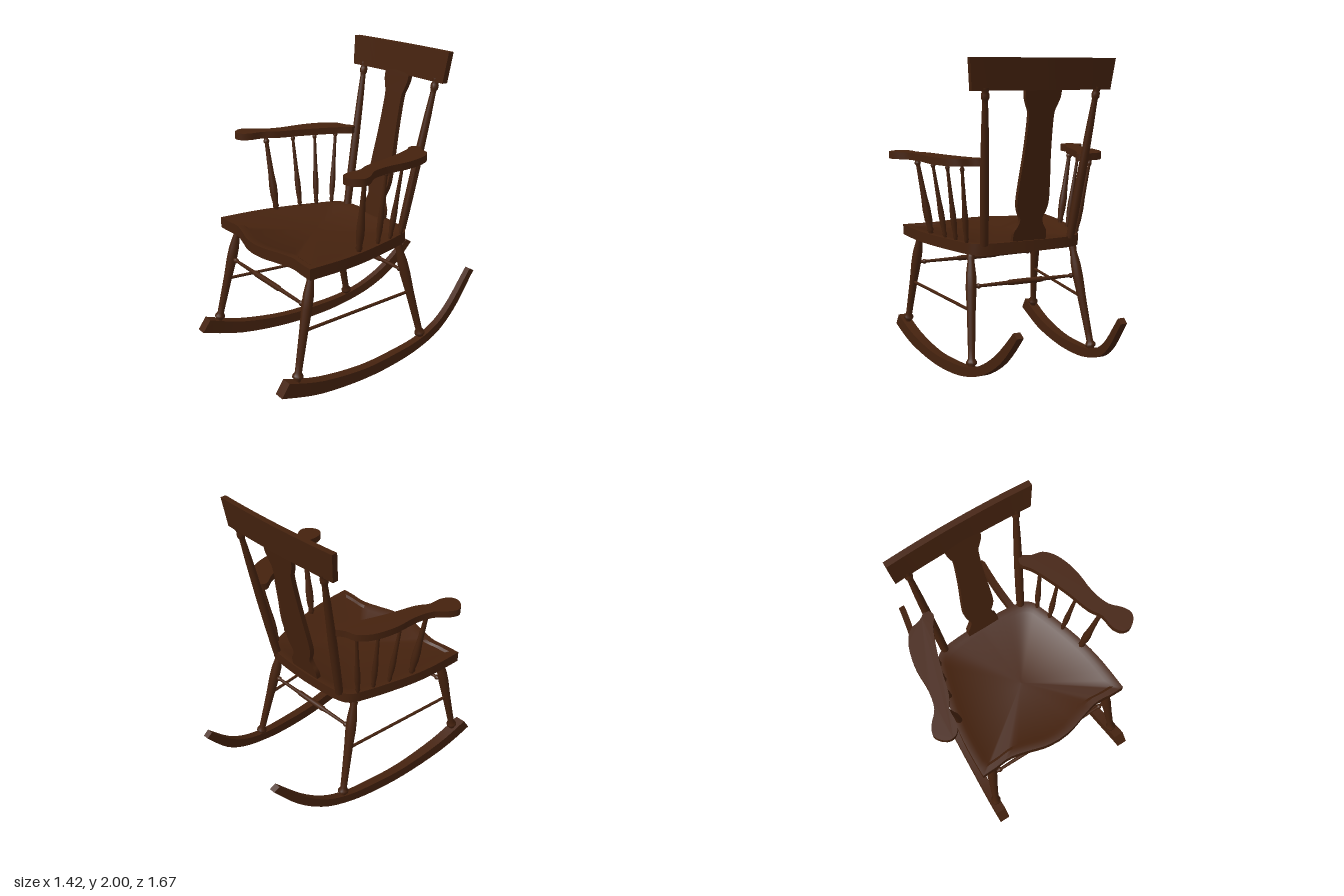
import * as THREE from 'three';
import { toCreasedNormals } from 'three/addons/utils/BufferGeometryUtils.js';

const V = (x, y, z) => new THREE.Vector3(x, y, z);
const lerp = THREE.MathUtils.lerp;
const crease = (g) => toCreasedNormals(g, 0.6);

// Smooth 2D curve through a few points
const smooth = (pts, n) => new THREE.SplineCurve(pts.map(([x, y]) => new THREE.Vector2(x, y))).getPoints(n);

// Skin a series of closed rings, with fan caps on both ends
function loft(rings) {
  const pos = [];
  const tri = (...vs) => vs.forEach((v) => pos.push(v.x, v.y, v.z));
  const n = rings[0].length;
  for (let i = 0; i < rings.length - 1; i++) {
    for (let j = 0; j < n; j++) {
      const k = (j + 1) % n;
      tri(rings[i][j], rings[i][k], rings[i + 1][k]);
      tri(rings[i][j], rings[i + 1][k], rings[i + 1][j]);
    }
  }
  const middle = (r) => r.reduce((s, v) => s.add(v), V(0, 0, 0)).divideScalar(n);
  const first = rings[0], last = rings[rings.length - 1];
  const c0 = middle(first), c1 = middle(last);
  for (let j = 0; j < n; j++) {
    const k = (j + 1) % n;
    tri(c0, first[k], first[j]);
    tri(c1, last[j], last[k]);
  }
  const g = new THREE.BufferGeometry();
  g.setAttribute('position', new THREE.Float32BufferAttribute(pos, 3));
  g.computeVertexNormals();
  return crease(g);
}

// Lathe-turned rod between two points; profile is [radius, fraction along rod]
function turned(profile, a, b) {
  const dir = b.clone().sub(a), len = dir.length();
  const g = new THREE.LatheGeometry(profile.map(([r, t]) => new THREE.Vector2(r, t * len)), 14);
  g.applyQuaternion(new THREE.Quaternion().setFromUnitVectors(V(0, 1, 0), dir.normalize()));
  return g.translate(a.x, a.y, a.z);
}

const LEG = [[0.02, 0], [0.021, 0.05], [0.034, 0.065], [0.034, 0.085], [0.022, 0.11], [0.023, 0.2], [0.028, 0.5],
  [0.034, 0.68], [0.033, 0.8], [0.022, 0.92], [0.026, 0.95], [0.021, 0.97], [0.02, 1]];
const POST = [[0.026, 0], [0.028, 0.2], [0.028, 0.45], [0.023, 0.75], [0.018, 0.9], [0.018, 0.92], [0.025, 0.935],
  [0.025, 0.96], [0.019, 0.97], [0.025, 0.985], [0.025, 1]];
const SPINDLE = [[0.013, 0], [0.014, 0.04], [0.02, 0.06], [0.016, 0.09], [0.023, 0.2], [0.024, 0.34], [0.018, 0.5],
  [0.014, 0.75], [0.012, 0.9], [0.018, 0.925], [0.018, 0.94], [0.012, 0.96], [0.012, 1]];
const STRETCHER = [[0.01, 0], [0.01, 0.05], [0.017, 0.06], [0.017, 0.07], [0.01, 0.085], [0.013, 0.33], [0.018, 0.35],
  [0.018, 0.65], [0.013, 0.67], [0.01, 0.915], [0.017, 0.93], [0.017, 0.94], [0.01, 0.95], [0.01, 1]];
const ROD = [[0.01, 0], [0.01, 1]];

// Seat slab with a shallow dished top and a serpentine front edge
function seatGeometry() {
  const front = smooth([[0, 0.695], [0.1, 0.685], [0.22, 0.65], [0.34, 0.622], [0.45, 0.63], [0.545, 0.632]], 14);
  const side = smooth([[0.545, 0.632], [0.535, 0.42], [0.51, 0.24], [0.46, 0.04], [0.41, -0.12], [0.375, -0.2],
    [0.3, -0.242], [0.15, -0.258], [0, -0.264]], 24);
  const half = [...front, ...side.slice(1)];
  const outline = [...half, ...half.slice(1, -1).reverse().map((p) => new THREE.Vector2(-p.x, p.y))];
  const ring = (s, y) => outline.map((p) => V(p.x * s, y, 0.21 + (p.y - 0.21) * s));
  return loft([ring(1, 0.8), ring(1, 0.87), ring(0.91, 0.87), ring(0.87, 0.858)]);
}

// Curved rocker, thinner and closer to the middle at the back
function rockerGeometry() {
  const n = 28;
  const low = smooth([[0.84, 0.1], [0.55, 0.026], [0.2, 0], [-0.1, 0.018], [-0.32, 0.062], [-0.5, 0.13],
    [-0.67, 0.25], [-0.835, 0.44]], n);
  const high = smooth([[0.785, 0.18], [0.53, 0.106], [0.2, 0.07], [-0.09, 0.086], [-0.29, 0.115], [-0.46, 0.175],
    [-0.62, 0.285], [-0.795, 0.465]], n);
  const plan = new THREE.SplineCurve([[0.34, -0.84], [0.415, -0.42], [0.455, 0], [0.485, 0.42], [0.511, 0.84]]
    .map(([x, z]) => new THREE.Vector2(x, z)));
  const corner = (p, side) => {
    const t = THREE.MathUtils.clamp((p.x + 0.84) / 1.68, 0, 1);
    return V(plan.getPoint(t).x + side * lerp(0.021, 0.036, t), p.y, p.x);
  };
  const rings = low.map((p, i) => [corner(p, 1), corner(p, -1), corner(high[i], -1), corner(high[i], 1)]);
  // Rounded nose
  const mid = { x: 0.825, y: 0.155 };
  rings[0].splice(2, 0, corner(mid, -1), corner(mid, 1));
  rings[0] = [rings[0][0], rings[0][1], rings[0][4], rings[0][5]];
  return loft(rings);
}

// Flat arm, broad at the hand and narrow where it meets the post
function armGeometry() {
  const pts = [[0.345, -0.325], [0.315, -0.28], [0.36, -0.21], [0.4, -0.12], [0.46, 0.05], [0.505, 0.21], [0.55, 0.29],
    [0.557, 0.38], [0.59, 0.435], [0.64, 0.447], [0.69, 0.415], [0.712, 0.37], [0.69, 0.315], [0.625, 0.24],
    [0.592, 0.12], [0.587, -0.03], [0.565, -0.14], [0.53, -0.22], [0.48, -0.272], [0.41, -0.29]];
  const curve = new THREE.CatmullRomCurve3(pts.map(([x, z]) => V(x, z, 0)), true);
  const shape = new THREE.Shape(curve.getPoints(60).slice(0, -1).map((p) => new THREE.Vector2(p.x, p.y)));
  const g = new THREE.ExtrudeGeometry(shape, { depth: 0.045, bevelEnabled: false });
  return crease(g.rotateX(Math.PI / 2).translate(0, 1.405, 0));
}

// Vase-shaped back splat, leaning back
function splatGeometry() {
  const half = smooth([[0.115, 0.86], [0.113, 0.925], [0.09, 0.965], [0.077, 1.01], [0.1, 1.07], [0.109, 1.13],
    [0.103, 1.25], [0.088, 1.45], [0.083, 1.66], [0.1, 1.72], [0.117, 1.77], [0.12, 1.83]], 40);
  const left = half.map((p) => new THREE.Vector2(-p.x, p.y)).reverse();
  const g = new THREE.ExtrudeGeometry(new THREE.Shape([...half, ...left]), { depth: 0.032, bevelEnabled: false });
  const p = g.attributes.position;
  for (let i = 0; i < p.count; i++) p.setZ(i, p.getZ(i) - 0.25 - (p.getY(i) - 0.87) * 0.205);
  return crease(g);
}

// Crest board, gently bowed and flared towards the top
function crestGeometry() {
  const rings = [];
  for (let i = 0; i <= 12; i++) {
    const u = i / 6 - 1, bow = 0.015 * u * u;
    rings.push([V(0.46 * u, 1.81, -0.45 + bow), V(0.48 * u, 2, -0.476 + bow),
      V(0.48 * u, 2, -0.438 + bow), V(0.46 * u, 1.81, -0.412 + bow)]);
  }
  return loft(rings.map((r) => r.reverse()).map((r) => [...r].reverse()));
}

export function createModel() {
  const model = new THREE.Group();
  model.name = 'rockingChair';
  const wood = new THREE.MeshStandardMaterial({ color: 0x45220e });
  wood.name = 'darkWood';
  const add = (parent, name, geometry) => {
    const m = new THREE.Mesh(geometry, wood);
    m.name = name;
    parent.add(m);
  };

  add(model, 'seat', seatGeometry());
  add(model, 'backSplat', splatGeometry());
  add(model, 'crestRail', crestGeometry());
  add(model, 'frontStretcher', turned(STRETCHER, V(-0.465, 0.597, 0.605), V(0.465, 0.597, 0.605)));
  add(model, 'rearStretcher', turned(STRETCHER, V(-0.378, 0.597, -0.2), V(0.378, 0.597, -0.2)));

  // Parts that repeat on each side
  const spindles = [[0.478, 0.24, 0.563, 0.26, 1.1], [0.443, 0.07, 0.525, 0.072, 0.8],
    [0.415, -0.045, 0.485, -0.083, 0.8], [0.386, -0.152, 0.445, -0.232, 0.8]];
  for (const [name, sign] of [['left', 1], ['right', -1]]) {
    const side = new THREE.Group();
    side.name = name + 'Side';
    side.scale.x = sign;
    add(side, 'rocker', rockerGeometry());
    add(side, 'frontLeg', turned(LEG, V(0.502, 0.13, 0.71), V(0.447, 0.81, 0.558)));
    add(side, 'rearLeg', turned(LEG, V(0.428, 0.09, -0.32), V(0.358, 0.81, -0.152)));
    add(side, 'sideStretcher', turned(ROD, V(0.476, 0.453, 0.64), V(0.393, 0.453, -0.235)));
    add(side, 'backPost', turned(POST, V(0.302, 0.86, -0.232), V(0.372, 1.83, -0.425)));
    add(side, 'arm', armGeometry());
    for (const [x0, z0, x1, z1, k] of spindles) {
      add(side, 'armSpindle', turned(SPINDLE.map(([r, t]) => [r * k, t]), V(x0, 0.86, z0), V(x1, 1.37, z1)));
    }
    model.add(side);
  }
  return model;
}
